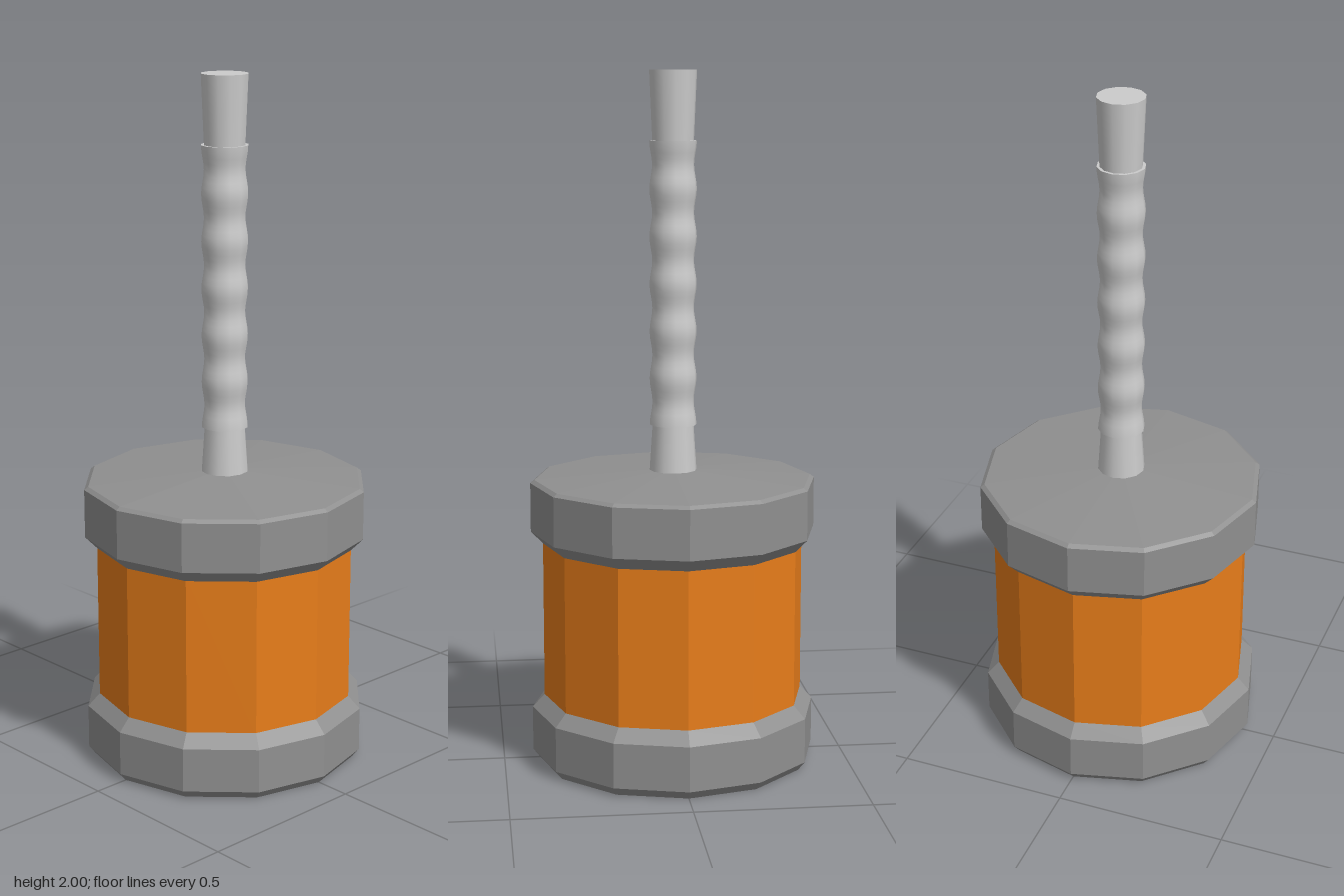
import * as THREE from 'three';

const SIDES = 12;

function lathe(name, points, material) {
  const profile = points.map(([r, y]) => new THREE.Vector2(r, y));
  const mesh = new THREE.Mesh(new THREE.LatheGeometry(profile, SIDES), material);
  mesh.name = name;
  return mesh;
}

export function createModel() {
  const group = new THREE.Group();
  group.name = 'mallet';
  const grey = new THREE.MeshStandardMaterial({ color: 0xcccccc });
  const darkGrey = new THREE.MeshStandardMaterial({ color: 0x909090, flatShading: true });
  const orange = new THREE.MeshStandardMaterial({ color: 0xe87d1a, flatShading: true });

  // Head: orange drum between two bevelled bands
  group.add(lathe('headDrum', [[0.38, 0.18], [0.38, 0.66]], orange));
  group.add(lathe('lowerBand', [
    [0, 0], [0.395, 0], [0.415, 0.025], [0.415, 0.155], [0.38, 0.192], [0, 0.192],
  ], darkGrey));
  group.add(lathe('upperBand', [
    [0, 0.646], [0.38, 0.646], [0.415, 0.682], [0.415, 0.825], [0.403, 0.834],
    [0.07, 0.857], [0, 0.857],
  ], darkGrey));

  // Handle: tapered collar, rippled grip, flared end
  const collar = new THREE.Mesh(new THREE.CylinderGeometry(0.059, 0.069, 0.15, SIDES), grey);
  collar.name = 'handleCollar';
  collar.position.y = 0.925;
  const pommel = new THREE.Mesh(new THREE.CylinderGeometry(0.068, 0.059, 0.21, SIDES), grey);
  pommel.name = 'handleEnd';
  pommel.position.y = 1.895;
  group.add(collar, pommel);

  const bottom = 0.99, top = 1.803, ripples = 6, steps = 48;
  const grip = [];
  for (let i = 0; i <= steps; i++) {
    const t = i / steps;
    grip.push([0.064 + 0.004 * Math.cos(t * ripples * Math.PI * 2), bottom + t * (top - bottom)]);
  }
  group.add(lathe('handleGrip', grip, grey));

  // Flat ledges closing the grip
  for (const [y, turn] of [[bottom, Math.PI / 2], [top, -Math.PI / 2]]) {
    const ledge = new THREE.Mesh(new THREE.CircleGeometry(0.068, SIDES), grey);
    ledge.name = 'gripLedge';
    ledge.rotation.x = turn;
    ledge.position.y = y;
    group.add(ledge);
  }
  return group;
}
